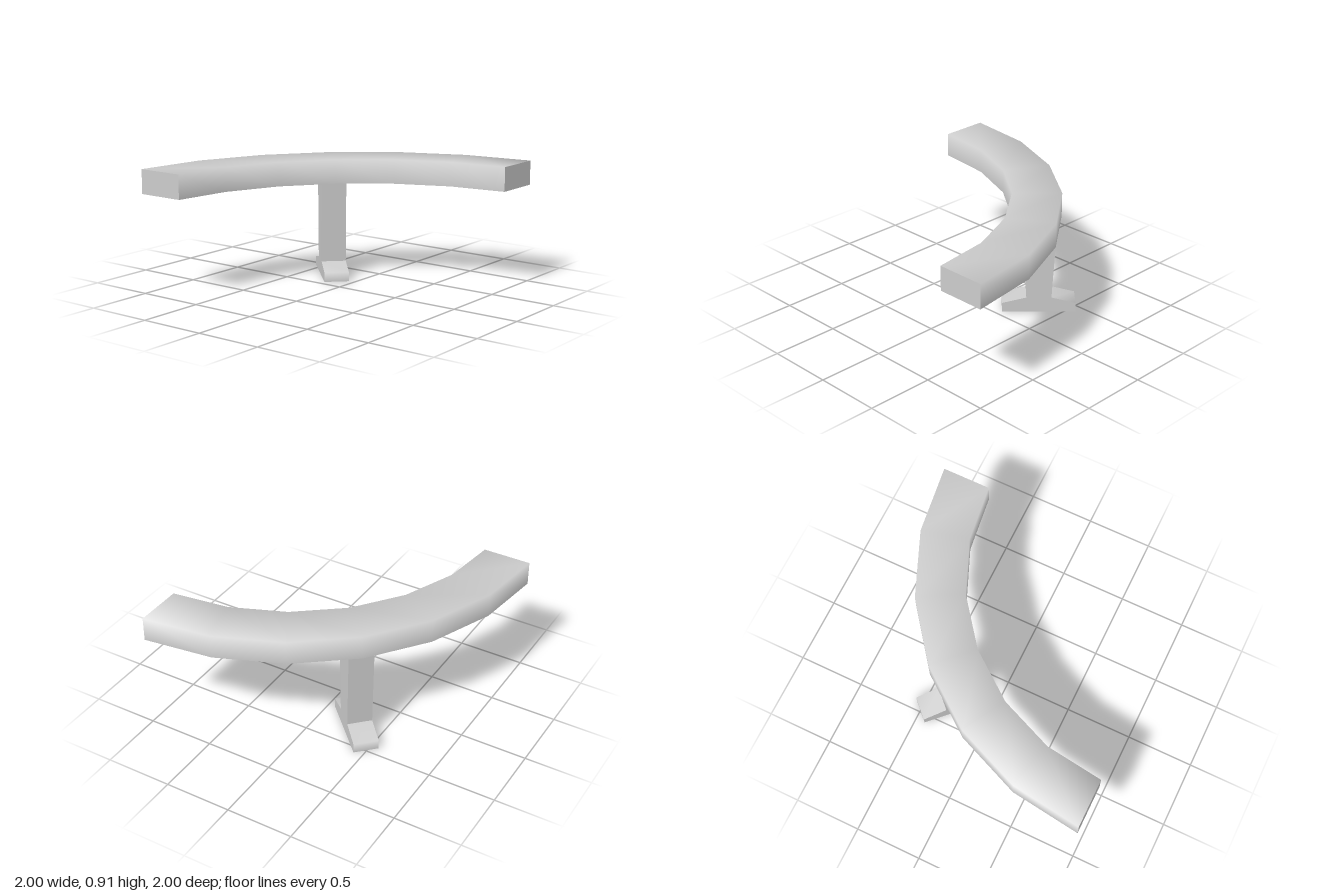
import * as THREE from 'three';

const material = new THREE.MeshStandardMaterial({ color: 0xcccccc });

function addMesh(parent, name, geometry) {
  const mesh = new THREE.Mesh(geometry, material);
  mesh.name = name;
  parent.add(mesh);
  return mesh;
}

// Smoothly shaded sheet through rows of points; front side = row direction x column direction
function sheet(rows) {
  const cols = rows[0].length;
  const index = [];
  for (let i = 0; i < rows.length - 1; i++) {
    for (let j = 0; j < cols - 1; j++) {
      const a = i * cols + j, b = a + cols;
      index.push(a, b, a + 1, b, b + 1, a + 1);
    }
  }
  const geometry = new THREE.BufferGeometry();
  geometry.setAttribute('position', new THREE.Float32BufferAttribute(rows.flat(2), 3));
  geometry.setIndex(index);
  geometry.computeVertexNormals();
  return geometry;
}

// Quarter-ring seat centred on (1, 1), six straight segments
function createSeat() {
  const seat = new THREE.Group();
  seat.name = 'seat';
  const bottom = 0.73, top = 0.91, outer = 2, inner = 1.64, segments = 6;
  const sections = [];
  for (let i = 0; i <= segments; i++) {
    const angle = (i / segments) * Math.PI / 2;
    const at = (r, y) => [1 - r * Math.cos(angle), y, 1 - r * Math.sin(angle)];
    sections.push([at(inner, bottom), at(inner, top), at(outer, top), at(outer, bottom)]);
  }
  addMesh(seat, 'seatTopAndSides', sheet(sections));
  addMesh(seat, 'seatUnderside', sheet(sections.map(s => [s[3], s[0]])));
  const first = sections[0], last = sections[segments];
  addMesh(seat, 'seatFrontEnd', sheet([[first[3], first[2]], [first[0], first[1]]]));
  addMesh(seat, 'seatSideEnd', sheet([[last[0], last[1]], [last[3], last[2]]]));
  return seat;
}

// Tapered post with a spreading foot; local x runs across the seat
function createLeg() {
  const leg = new THREE.Group();
  leg.name = 'leg';
  const w = 0.092;
  const half = [[0.123, 0.73], [0.092, 0.115], [0.27, 0.07], [0.27, 0]];
  const across = points => sheet([-w, w].map(z => points.map(([x, y]) => [x, y, z])));

  // Two identical halves, each with a narrow edge, foot end and broad face
  const outline = [...half, ...half.map(([x, y]) => [-x, y]).reverse()];
  const shape = new THREE.Shape(outline.map(([x, y]) => new THREE.Vector2(x, y)));
  for (const side of [0, 1]) {
    const part = new THREE.Group();
    part.name = side ? 'innerLegHalf' : 'outerLegHalf';
    part.rotation.y = side * Math.PI;
    addMesh(part, 'postEdge', across(half.slice(0, 2)));
    addMesh(part, 'footEnd', across(half.slice(1)));
    addMesh(part, 'legFace', new THREE.ShapeGeometry(shape)).position.z = w;
    leg.add(part);
  }
  addMesh(leg, 'footSole', across([[0.27, 0], [-0.27, 0]]));

  // Stand under the middle of the arc, turned to the diagonal
  leg.rotation.y = Math.PI * 0.75;
  leg.position.set(-0.304, 0, -0.304);
  return leg;
}

export function createModel() {
  const model = new THREE.Group();
  model.name = 'curvedBench';
  model.add(createSeat(), createLeg());
  return model;
}
